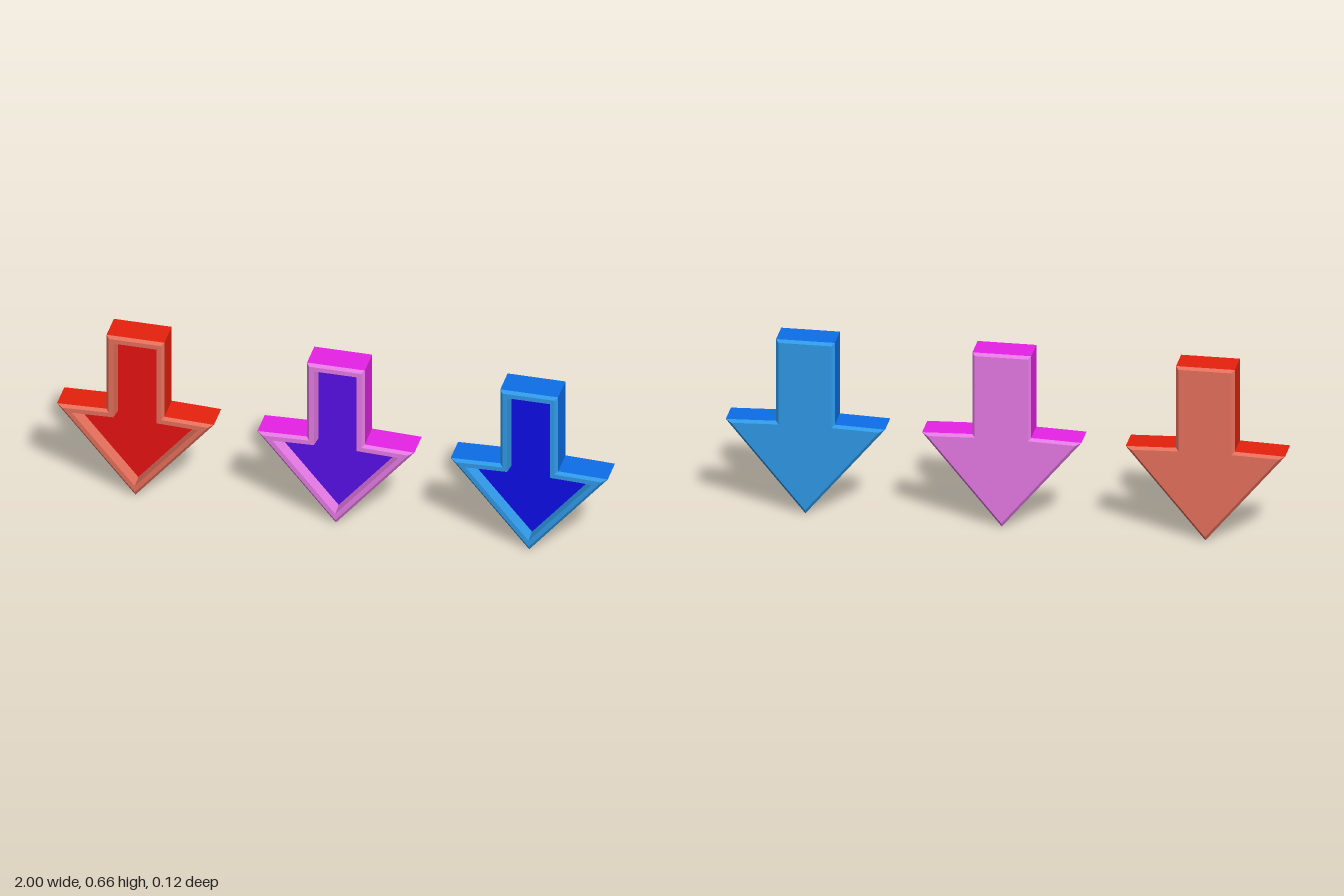
import * as THREE from 'three';

// Arrow outline, counter-clockwise from the tip
const OUTLINE = [
  [0, 0], [0.285, 0.34], [0.105, 0.346], [0.105, 0.658],
  [-0.105, 0.658], [-0.105, 0.346], [-0.285, 0.34],
].map(([x, y]) => new THREE.Vector2(x, y));

const HALF = 0.0625;   // half thickness
const BEVEL = 0.01;
const FLOOR_Z = 0.012; // bottom of the front recess

// Mitred inward offset of the outline
function inset(d) {
  const n = OUTLINE.length;
  return OUTLINE.map((p, i) => {
    const e1 = p.clone().sub(OUTLINE[(i + n - 1) % n]).normalize();
    const e2 = OUTLINE[(i + 1) % n].clone().sub(p).normalize();
    const n1 = new THREE.Vector2(-e1.y, e1.x);
    const n2 = new THREE.Vector2(-e2.y, e2.x);
    return p.clone().addScaledVector(n1.clone().add(n2), d / (1 + n1.dot(n2)));
  });
}

// Flat-shaded skin through successive [inset, z] loops
function loft(steps) {
  const pos = [];
  for (let s = 0; s < steps.length - 1; s++) {
    const [a, b] = [steps[s], steps[s + 1]].map(([d, z]) => inset(d).map((p) => [p.x, p.y, z]));
    for (let i = 0; i < a.length; i++) {
      const j = (i + 1) % a.length;
      pos.push(...a[i], ...a[j], ...b[j], ...a[i], ...b[j], ...b[i]);
    }
  }
  const geo = new THREE.BufferGeometry();
  geo.setAttribute('position', new THREE.Float32BufferAttribute(pos, 3));
  geo.computeVertexNormals();
  return geo;
}

const cap = (d, z) => new THREE.ShapeGeometry(new THREE.Shape(inset(d))).translate(0, 0, z);

function createArrow(name, x, sideColor, trimColor, panelColor) {
  const arrow = new THREE.Group();
  arrow.name = name;
  arrow.position.x = x;
  const trim = new THREE.MeshStandardMaterial({ color: trimColor });
  const add = (part, geo, material) => {
    const mesh = new THREE.Mesh(geo, material);
    mesh.name = part;
    arrow.add(mesh);
  };
  const edge = HALF - BEVEL;

  // Outer walls
  add('sideWalls', loft([[0, -edge], [0, edge]]), new THREE.MeshStandardMaterial({ color: sideColor }));
  // Bevelled back
  add('backBevel', loft([[BEVEL, -HALF], [0, -edge]]), trim);
  add('backPlate', cap(BEVEL, HALF).rotateY(Math.PI), trim);
  // Front bevel, raised rim and recess walls
  add('frontRim', loft([[0, edge], [BEVEL, HALF], [0.027, HALF], [0.031, FLOOR_Z]]), trim);
  // Recessed front panel
  add('frontPanel', cap(0.031, FLOOR_Z), new THREE.MeshStandardMaterial({ color: panelColor }));
  return arrow;
}

export function createModel() {
  const model = new THREE.Group();
  model.name = 'downArrows';
  model.add(
    createArrow('redArrow', -0.715, 0xe6210d, 0xe6705c, 0xe81212),
    createArrow('purpleArrow', 0.013, 0xe622e6, 0xe67ae6, 0x5a10e8),
    createArrow('blueArrow', 0.715, 0x0d6ee8, 0x309ae8, 0x0d0de8),
  );
  return model;
}
